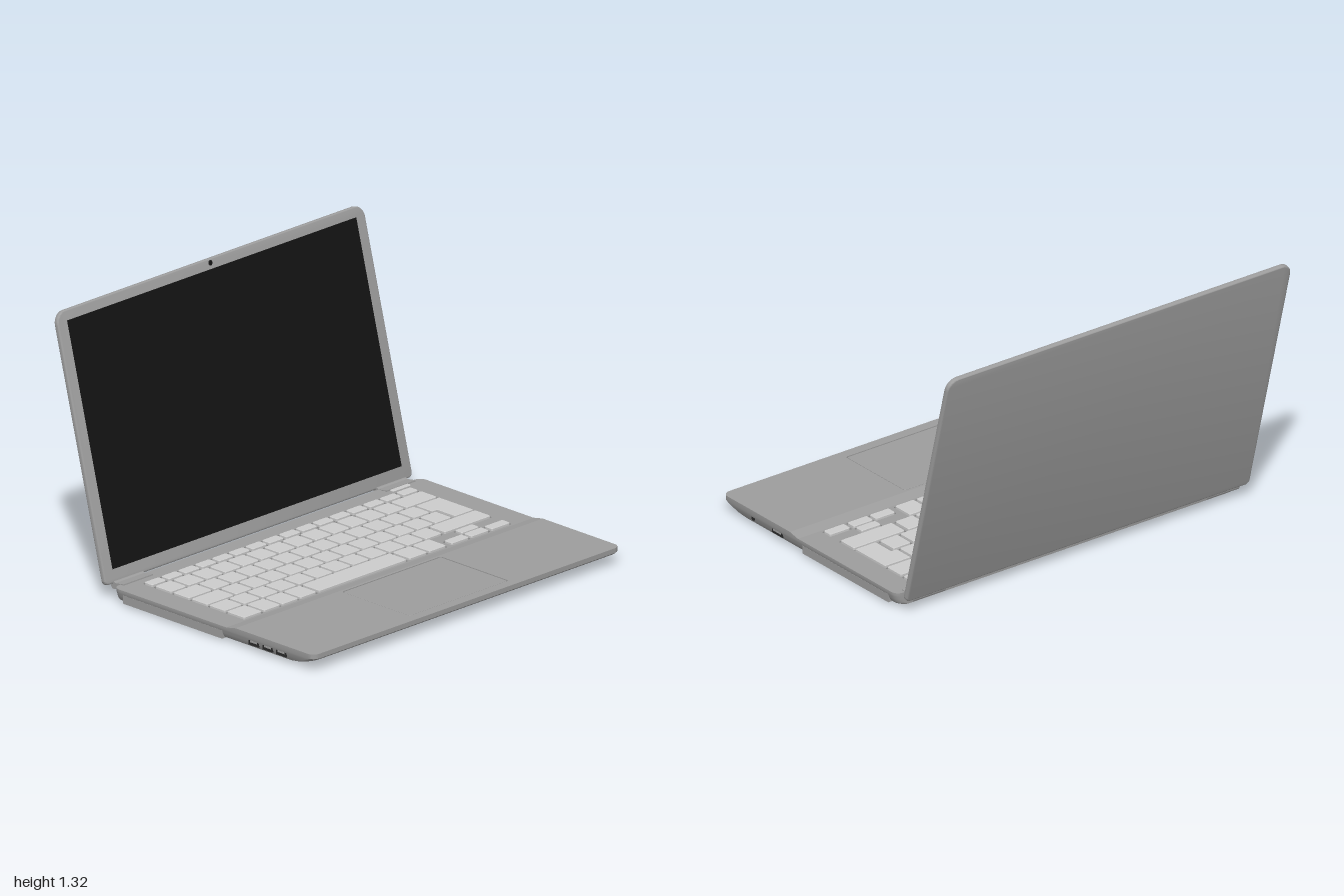
import * as THREE from 'three';
import { toCreasedNormals } from 'three/addons/utils/BufferGeometryUtils.js';

const mat = (color) => new THREE.MeshStandardMaterial({ color });
const shellMat = mat(0x9d9d9d), keyMat = mat(0xcccccc), darkMat = mat(0x2a2a2a), screenMat = mat(0x121212);

const Z_FRONT = 0.845, Z_BACK = -0.455;
const DECK = 0.073, PALM = 0.085, WELL = 0.064;   // heights of the top surfaces
const KEYS_Z = [-0.40, 0.28], PALM_Z = [0.34, 0.80]; // flat areas with cut-outs

function mesh(parent, name, geo, material, x = 0, y = 0, z = 0) {
  const m = new THREE.Mesh(geo, material);
  m.name = name;
  m.position.set(x, y, z);
  parent.add(m);
  return m;
}

// Rounded rectangle outline
function roundRect(path, x0, y0, x1, y1, r, rTop = r) {
  path.moveTo(x0 + r, y0);
  path.lineTo(x1 - r, y0); path.absarc(x1 - r, y0 + r, r, -Math.PI / 2, 0);
  path.lineTo(x1, y1 - rTop); path.absarc(x1 - rTop, y1 - rTop, rTop, 0, Math.PI / 2);
  path.lineTo(x0 + rTop, y1); path.absarc(x0 + rTop, y1 - rTop, rTop, Math.PI / 2, Math.PI);
  path.lineTo(x0, y0 + r); path.absarc(x0 + r, y0 + r, r, Math.PI, Math.PI * 1.5);
  return path;
}

// Horizontal outlines are drawn with shape y = -z
const flatRect = (path, [x0, x1, z0, z1], grow = 0, r = 0.008) =>
  roundRect(path, x0 - grow, -z1 - grow, x1 + grow, -z0 + grow, r);

function slab(shape, y, h, bevel = 0) {
  const geo = new THREE.ExtrudeGeometry(shape, {
    depth: h - bevel, bevelEnabled: bevel > 0, bevelThickness: bevel, bevelSize: bevel,
    bevelOffset: -bevel, bevelSegments: 1, curveSegments: 4,
  });
  return geo.rotateX(-Math.PI / 2).translate(0, y, 0);
}

// Key rectangles [x0, x1, z0, z1], row by row
function keyRects() {
  const keys = [], gap = 0.017, L = -0.865, R = 0.865, pitch = 0.118;
  const run = (x, n, p, z0, z1) => {
    for (let i = 0; i < n; i++) keys.push([x + i * p, x + (i + 1) * p - gap, z0, z1]);
  };
  run(L, 16, (R - L + gap) / 16, -0.385, -0.333);
  run(L, 13, pitch, -0.315, -0.212);
  keys.push([0.669, R, -0.315, -0.212]);
  keys.push([L, -0.716, -0.197, -0.095]);
  run(-0.699, 12, pitch, -0.197, -0.095);
  keys.push([L, -0.692, -0.08, 0.022]);
  run(-0.675, 12, pitch, -0.08, 0.022);
  keys.push([L, -0.752, 0.035, 0.136]);
  run(-0.735, 11, pitch, 0.035, 0.136);
  keys.push([0.568, R, 0.035, 0.136]);
  for (const [a, b] of [[L, -0.75], [-0.733, -0.63], [-0.615, -0.513], [-0.497, -0.395],
    [-0.375, 0.193], [0.213, 0.325], [0.342, 0.449]]) keys.push([a, b, 0.15, 0.262]);
  for (const [a, b] of [[0.487, 0.598], [0.615, 0.727], [0.748, R]]) keys.push([a, b, 0.211, 0.262]);
  keys.push([0.615, 0.727, 0.153, 0.199]);
  return keys;
}

// L-shaped enter key
function enterKey(path, g = 0) {
  const pts = [[0.717 - g, -0.197 - g], [0.865 + g, -0.197 - g], [0.865 + g, 0.022 + g],
    [0.749 - g, 0.022 + g], [0.749 - g, -0.095 + g], [0.717 - g, -0.095 + g]];
  return path.setFromPoints(pts.map(([x, z]) => new THREE.Vector2(x, -z)));
}

// Lower body: rounded outline lofted upward, curling in at the front underside
function bodyGeometry() {
  const r = 0.04, half = [], seg = 6;
  const arc = (cz, a0) => {
    for (let i = 0; i <= seg; i++) {
      const a = a0 + (i / seg) * Math.PI / 2;
      half.push([1 - r + r * Math.cos(a), cz + r * Math.sin(a)]);
    }
  };
  arc(Z_BACK + r, -Math.PI / 2);
  for (const z of [...KEYS_Z, ...PALM_Z]) half.push([1, z]);
  arc(Z_FRONT - r, 0);
  const m = half.length, n = 2 * m;
  const outline = [...half, ...half.map(([x, z]) => [-x, z]).reverse()];
  const topY = (z) => THREE.MathUtils.mapLinear(
    THREE.MathUtils.clamp(z, KEYS_Z[1], PALM_Z[0]), KEYS_Z[1], PALM_Z[0], DECK, PALM);
  // height, half width, front edge
  const rings = [[0.008, 0.965, 0.62], [0.015, 0.98, 0.71], [0.026, 0.988, 0.765], [0.04, 0.993, 0.805],
    [0.052, 0.997, 0.833], [0.062, 1, Z_FRONT], [null, 1, Z_FRONT]];
  const pos = [], idx = [];
  for (const [y, w, zf] of rings) for (const [x, z] of outline) {
    const k = (zf - 0.34) / (Z_FRONT - 0.34);
    pos.push(x * w, y ?? topY(z), z > 0.34 ? 0.34 + (z - 0.34) * k : z);
  }
  for (let k = 0; k < rings.length - 1; k++) for (let i = 0; i < n; i++) {
    const a = k * n + i, b = k * n + (i + 1) % n;
    idx.push(a, a + n, b, b, a + n, b + n);
  }
  const top = (rings.length - 1) * n;
  for (let i = 0; i < m - 1; i++) {
    const p = i, p1 = i + 1, q = n - 1 - i, q1 = q - 1;
    idx.push(q, p, q1, p, p1, q1);
    const z = half[i][1];
    if (z === KEYS_Z[0] || z === PALM_Z[0]) continue; // covered by the cut-out plates
    idx.push(top + q, top + q1, top + p, top + p, top + q1, top + p1);
  }
  const geo = new THREE.BufferGeometry();
  geo.setAttribute('position', new THREE.Float32BufferAttribute(pos, 3));
  geo.setIndex(idx);
  return toCreasedNormals(geo, 0.5);
}

function plate([z0, z1], y, depth, holes) {
  const s = flatRect(new THREE.Shape(), [-0.9995, 0.9995, z0, z1], 0, 0.0001);
  s.holes.push(...holes);
  return slab(s, y - depth, depth);
}

function buildBase() {
  const base = new THREE.Group();
  base.name = 'base';
  mesh(base, 'lowerBody', bodyGeometry(), shellMat);

  // Keyboard deck with wells, and the keys standing in them
  const keys = keyRects(), g = 0.006;
  const wells = keys.map((k) => flatRect(new THREE.Path(), k, g, 0.01));
  wells.push(enterKey(new THREE.Path(), g));
  mesh(base, 'keyboardDeck', plate(KEYS_Z, DECK, DECK - WELL, wells), shellMat);
  mesh(base, 'wellFloor', new THREE.BoxGeometry(1.8, 0.004, 0.67), shellMat, 0, WELL - 0.001, -0.06);
  const keyboard = new THREE.Group();
  keyboard.name = 'keyboard';
  base.add(keyboard);
  for (const k of keys) mesh(keyboard, 'key', slab(flatRect(new THREE.Shape(), k), WELL, 0.018, 0.003), keyMat);
  mesh(keyboard, 'enterKey', slab(enterKey(new THREE.Shape()), WELL, 0.018, 0.003), keyMat);

  // Palm rest and touchpad
  const pad = [-0.317, 0.317, 0.358, 0.788];
  mesh(base, 'palmRest', plate(PALM_Z, PALM, 0.01, [flatRect(new THREE.Path(), pad, 0.005, 0.012)]), shellMat);
  mesh(base, 'touchpadFloor', new THREE.BoxGeometry(0.7, 0.004, 0.455), shellMat, 0, 0.074, 0.572);
  mesh(base, 'touchpad', slab(flatRect(new THREE.Shape(), pad), 0.075, 0.009, 0.001), shellMat);
  mesh(base, 'powerButton', slab(flatRect(new THREE.Shape(), [0.78, 0.9, -0.437, -0.41], 0, 0.012), DECK - 0.002, 0.006, 0.002), keyMat);

  // Rear strip, side ridges, hinges and feet
  mesh(base, 'rearStrip', new THREE.BoxGeometry(1.52, 0.028, 0.04), shellMat, 0, 0.057, -0.465);
  for (const s of [-1, 1]) {
    mesh(base, 'sideRidge', new THREE.BoxGeometry(0.04, 0.04, 0.64), shellMat, s * 0.977, 0.029, -0.07);
    const barrel = new THREE.CylinderGeometry(0.018, 0.018, 0.19, 16).rotateZ(Math.PI / 2);
    mesh(base, 'hingeBarrel', barrel, shellMat, s * 0.855, 0.058, -0.499);
    const arm = mesh(base, 'hingeArm', new THREE.BoxGeometry(0.19, 0.026, 0.07), shellMat, s * 0.855, 0.061, -0.467);
    arm.rotation.x = -0.15;
    for (const z of [0.58, -0.39])
      mesh(base, 'foot', new THREE.CylinderGeometry(0.02, 0.017, 0.01, 16), darkMat, s * 0.92, 0.005, z);
  }

  // Ports
  const port = (x, z, len, h) => {
    mesh(base, 'port', new THREE.BoxGeometry(0.02, h, len), darkMat, x * 0.986, 0.042, z);
    mesh(base, 'portTongue', new THREE.BoxGeometry(0.02, h * 0.3, len * 0.7), shellMat, x * 0.987, 0.045, z);
  };
  for (const z of [0.632, 0.543, 0.453]) port(-1, z, 0.065, 0.03);
  port(1, 0.44, 0.08, 0.026);
  mesh(base, 'audioJack', new THREE.CylinderGeometry(0.013, 0.013, 0.02, 16).rotateZ(Math.PI / 2), darkMat, 0.986, 0.045, 0.62);
  return base;
}

// Tilted display lid, hinged at its lower front edge
function buildLid() {
  const lid = new THREE.Group();
  lid.name = 'lid';
  lid.position.set(0, 0.066, -0.5);
  lid.rotation.x = -0.252;
  const b = 0.007, t = 0.026;
  const geo = new THREE.ExtrudeGeometry(roundRect(new THREE.Shape(), -1, 0, 1, 1.295, 0.025, 0.06), {
    depth: t - 2 * b, bevelThickness: b, bevelSize: b, bevelOffset: -b, bevelSegments: 3, curveSegments: 8,
  });
  mesh(lid, 'lidShell', toCreasedNormals(geo, 0.6), shellMat, 0, 0, b - t);
  mesh(lid, 'screen', new THREE.BoxGeometry(1.88, 1.18, 0.004), screenMat, 0, 0.655, -0.0005);
  mesh(lid, 'cameraRing', new THREE.TorusGeometry(0.011, 0.002, 6, 20), darkMat, 0, 1.274, 0);
  mesh(lid, 'cameraLens', new THREE.CylinderGeometry(0.01, 0.01, 0.004, 20).rotateX(Math.PI / 2), screenMat, 0, 1.274, 0);
  return lid;
}

export function createModel() {
  const model = new THREE.Group();
  model.name = 'laptop';
  model.add(buildBase(), buildLid());
  return model;
}
